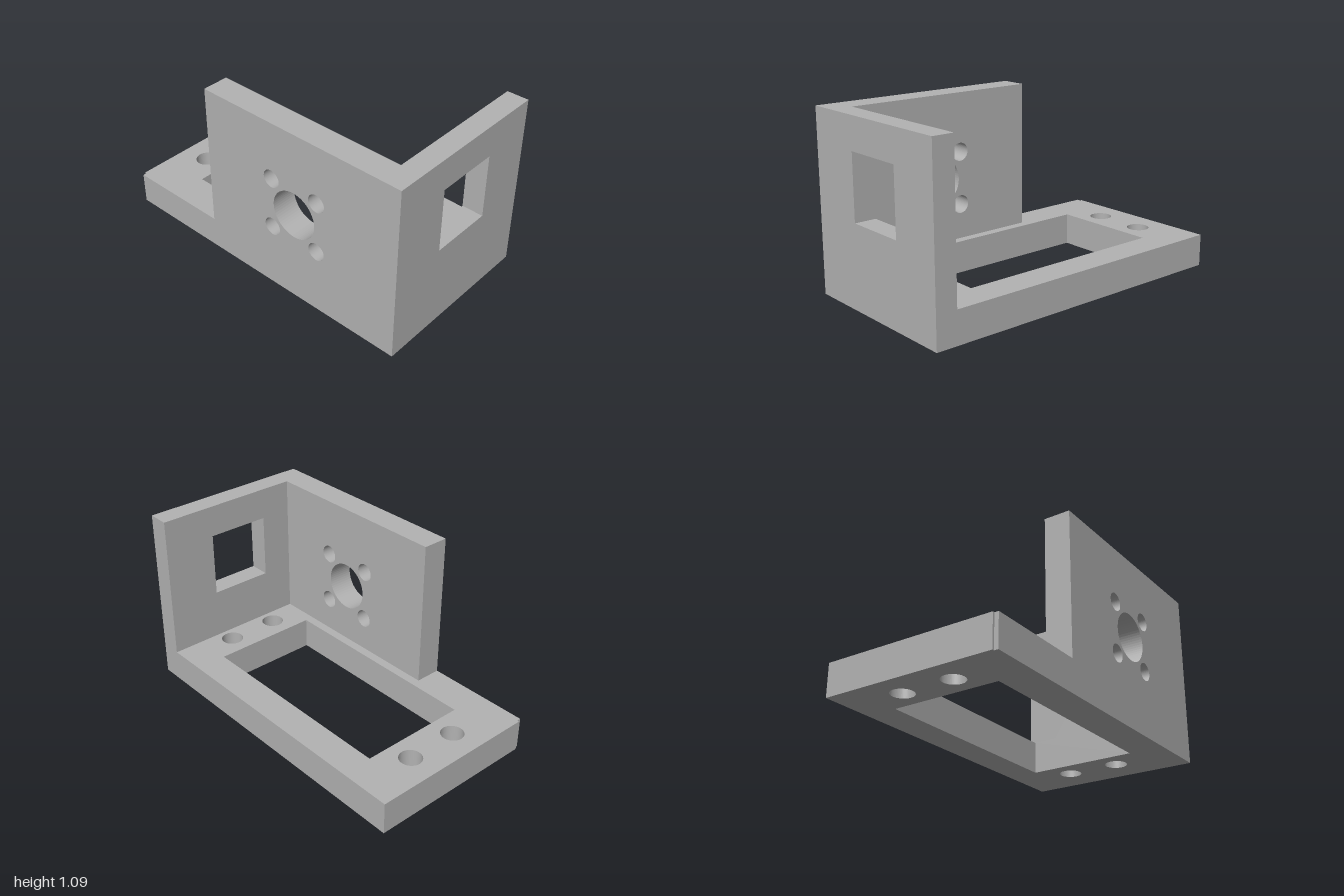
import * as THREE from 'three';

const grey = new THREE.MeshStandardMaterial({ color: 0xb2b2b2 });
grey.name = 'plain grey';

// Rectangular cut-out from corner to corner
function rectHole(x0, y0, x1, y1) {
  return new THREE.Path([[x0, y0], [x0, y1], [x1, y1], [x1, y0]].map(p => new THREE.Vector2(...p)));
}

// Round drilled hole
function roundHole(x, y, r) {
  return new THREE.Path().absarc(x, y, r, 0, Math.PI * 2, true);
}

// Flat plate from an outline, with holes, extruded to a thickness
function plate(name, outline, holes, depth) {
  const shape = new THREE.Shape(outline.map(p => new THREE.Vector2(...p)));
  shape.holes.push(...holes);
  const geometry = new THREE.ExtrudeGeometry(shape, { depth, bevelEnabled: false, curveSegments: 32 });
  const mesh = new THREE.Mesh(geometry, grey);
  mesh.name = name;
  return mesh;
}

export function createModel() {
  const group = new THREE.Group();
  group.name = 'mountingBracket';
  const W = 0.535, H = 1.085, baseH = 0.195, wallZ = 0.87;

  // Base frame, drawn in x and -z, with a tiny step at one back corner
  const baseHoles = [rectHole(-0.32, -0.635, 0.345, 0.685)];
  for (const x of [-0.15, 0.175])
    for (const y of [-0.775, 0.825]) baseHoles.push(roundHole(x, y, 0.067));
  const base = plate('baseFrame',
    [[-W, -wallZ], [W, -wallZ], [W, 1], [-0.51, 1], [-0.51, 0.988], [-W, 0.988]], baseHoles, baseH);
  base.geometry.rotateX(-Math.PI / 2);

  // Front wall with a square window
  const front = plate('frontWall', [[-W, 0], [W, 0], [W, H], [-W, H]],
    [rectHole(-0.18, 0.5, 0.208, 0.892)], 1 - wallZ);
  front.geometry.translate(0, 0, wallZ);

  // Side wall, drawn in z and y, with a bore and four screw holes
  const cz = 0.305, cy = 0.568;
  const sideHoles = [roundHole(cz, cy, 0.147)];
  for (const dz of [-0.16, 0.16])
    for (const dy of [-0.161, 0.161]) sideHoles.push(roundHole(cz + dz, cy + dy, 0.055));
  const side = plate('sideWall',
    [[-0.342, baseH], [wallZ, baseH], [wallZ, H], [-0.342, H]], sideHoles, 0.16);
  side.geometry.rotateY(-Math.PI / 2);
  side.geometry.translate(-0.375, 0, 0);

  group.add(base, front, side);
  return group;
}
